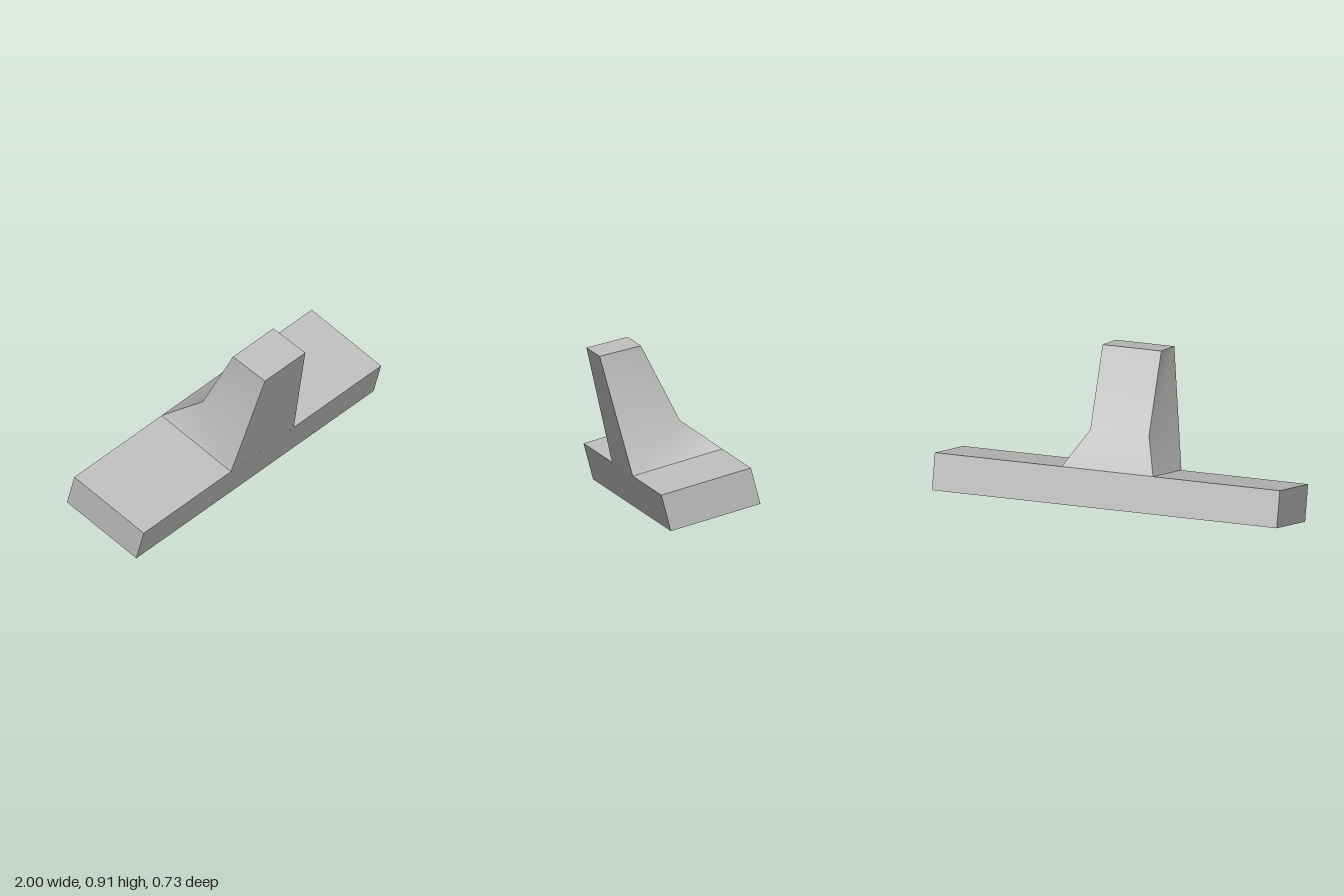
import * as THREE from 'three';
import { toCreasedNormals } from 'three/addons/utils/BufferGeometryUtils.js';

// Loft an outline of [halfWidth, y, z] points, mirrored about x = 0, into a closed solid.
function mirroredSolid(outline, sideTriangles) {
  const positions = [];
  const point = (i, side) => [side * outline[i][0], outline[i][1], outline[i][2]];
  const triangle = (a, b, c) => positions.push(...a, ...b, ...c);

  // left and right sides
  for (const [a, b, c] of sideTriangles) {
    triangle(point(a, 1), point(b, 1), point(c, 1));
    triangle(point(a, -1), point(c, -1), point(b, -1));
  }
  // strips joining the two sides
  outline.forEach((_, i) => {
    const j = (i + 1) % outline.length;
    triangle(point(i, 1), point(i, -1), point(j, -1));
    triangle(point(i, 1), point(j, -1), point(j, 1));
  });

  const geometry = new THREE.BufferGeometry();
  geometry.setAttribute('position', new THREE.Float32BufferAttribute(positions, 3));
  return toCreasedNormals(geometry, 0.6);
}

export function createModel() {
  const group = new THREE.Group();
  const grey = new THREE.MeshStandardMaterial({ color: 0xbfbfbf });
  grey.name = 'plain grey';

  // long flat bar, tipped forward
  const bar = new THREE.Mesh(new THREE.BoxGeometry(2, 0.209, 0.524), grey);
  bar.name = 'crossBar';
  bar.rotation.x = THREE.MathUtils.degToRad(15);
  bar.position.set(0, 0.169, -0.083);
  group.add(bar);

  // tapering stem with a flared foot at the back
  const stemOutline = [
    [0.265, 0.202, 0.197],  // foot front
    [0.265, 0.338, -0.309], // foot back
    [0.17, 0.49, -0.09],    // bend
    [0.17, 0.913, 0.13],    // top back
    [0.17, 0.861, 0.363],   // top front
  ];
  const stem = new THREE.Mesh(
    mirroredSolid(stemOutline, [[0, 1, 2], [0, 2, 4], [2, 3, 4]]), grey);
  stem.name = 'stem';
  group.add(stem);

  return group;
}
